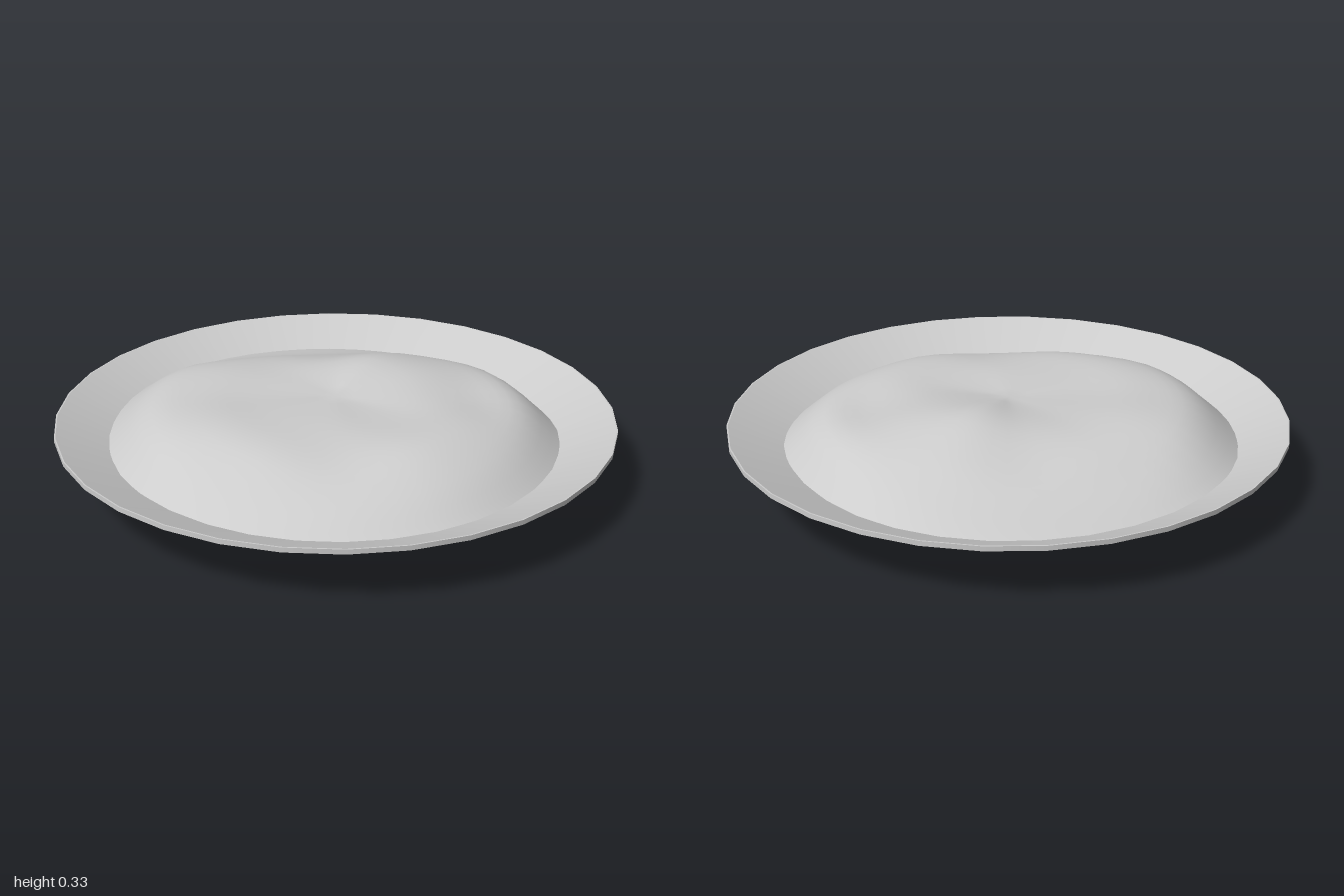
import * as THREE from 'three';
import { mergeVertices } from 'three/addons/utils/BufferGeometryUtils.js';

const SIDES = 32;

// Inner plate slope, shared by the plate and the edge of the food
const slopeY = (r) => 0.015 + (r - 0.54) * (0.21 / 0.455);

// Each pair of profile points is its own lathe, so the edges stay sharp
function buildPlate(material) {
  const plate = new THREE.Group();
  plate.name = 'plate';
  const profile = [
    ['base', 0, 0, 0.54, 0],
    ['outerWall', 0.54, 0, 1, 0.208],
    ['rimEdge', 1, 0.208, 1, 0.225],
    ['rimTop', 1, 0.225, 0.995, 0.225],
    ['innerWall', 0.995, 0.225, 0.54, 0.015],
    ['floor', 0.54, 0.015, 0, 0.015],
  ];
  for (const [name, r0, y0, r1, y1] of profile) {
    const points = [new THREE.Vector2(r0, y0), new THREE.Vector2(r1, y1)];
    const mesh = new THREE.Mesh(new THREE.LatheGeometry(points, SIDES), material);
    mesh.name = name;
    plate.add(mesh);
  }
  return plate;
}

// Lumpy mound: one row every 30 degrees from +x towards +z,
// giving heights at the three ring radii, then the edge radius
const RINGS = [0.28, 0.5, 0.66];
const SPOKES = [
  [0.295, 0.265, 0.25, 0.81],
  [0.28, 0.285, 0.235, 0.8],
  [0.28, 0.28, 0.215, 0.79],
  [0.285, 0.25, 0.19, 0.775],
  [0.29, 0.275, 0.2, 0.785],
  [0.292, 0.295, 0.25, 0.81],
  [0.286, 0.288, 0.262, 0.82],
  [0.288, 0.292, 0.26, 0.835],
  [0.288, 0.26, 0.2, 0.83],
  [0.3, 0.238, 0.18, 0.82],
  [0.328, 0.272, 0.2, 0.81],
  [0.315, 0.285, 0.24, 0.795],
];

function buildFood(material) {
  const around = 48, along = 16;
  const centre = new THREE.Vector3(0, 0.285, 0);

  // Closed curves through the spokes, one for each ring and one for the edge
  const loops = [0, 1, 2, 3].map((k) => new THREE.CatmullRomCurve3(
    SPOKES.map((row, i) => {
      const a = (i * Math.PI) / 6;
      const r = k < 3 ? RINGS[k] : row[3];
      const y = k < 3 ? row[k] : slopeY(r) - 0.006;
      return new THREE.Vector3(r * Math.cos(a), y, r * Math.sin(a));
    }), true));

  // Smooth radial curves turn the loops into a surface
  const positions = [], indices = [];
  for (let i = 0; i < around; i++) {
    const spoke = new THREE.CatmullRomCurve3(
      [centre, ...loops.map((loop) => loop.getPoint(i / around))]);
    for (let j = 0; j <= along; j++) {
      const p = j === 0 ? centre : spoke.getPoint(j / along);
      positions.push(p.x, p.y, p.z);
      if (j === along) continue;
      const a = i * (along + 1) + j;
      const b = ((i + 1) % around) * (along + 1) + j;
      if (j > 0) indices.push(a, b, a + 1);
      indices.push(b, b + 1, a + 1);
    }
  }
  let geometry = new THREE.BufferGeometry();
  geometry.setAttribute('position', new THREE.Float32BufferAttribute(positions, 3));
  geometry.setIndex(indices);
  geometry = mergeVertices(geometry);
  geometry.computeVertexNormals();
  const food = new THREE.Mesh(geometry, material);
  food.name = 'foodMound';
  return food;
}

export function createModel() {
  const grey = new THREE.MeshStandardMaterial({ color: 0xcccccc });
  grey.name = 'light grey';
  const model = new THREE.Group();
  model.name = 'plateOfFood';
  model.add(buildPlate(grey), buildFood(grey));
  return model;
}
